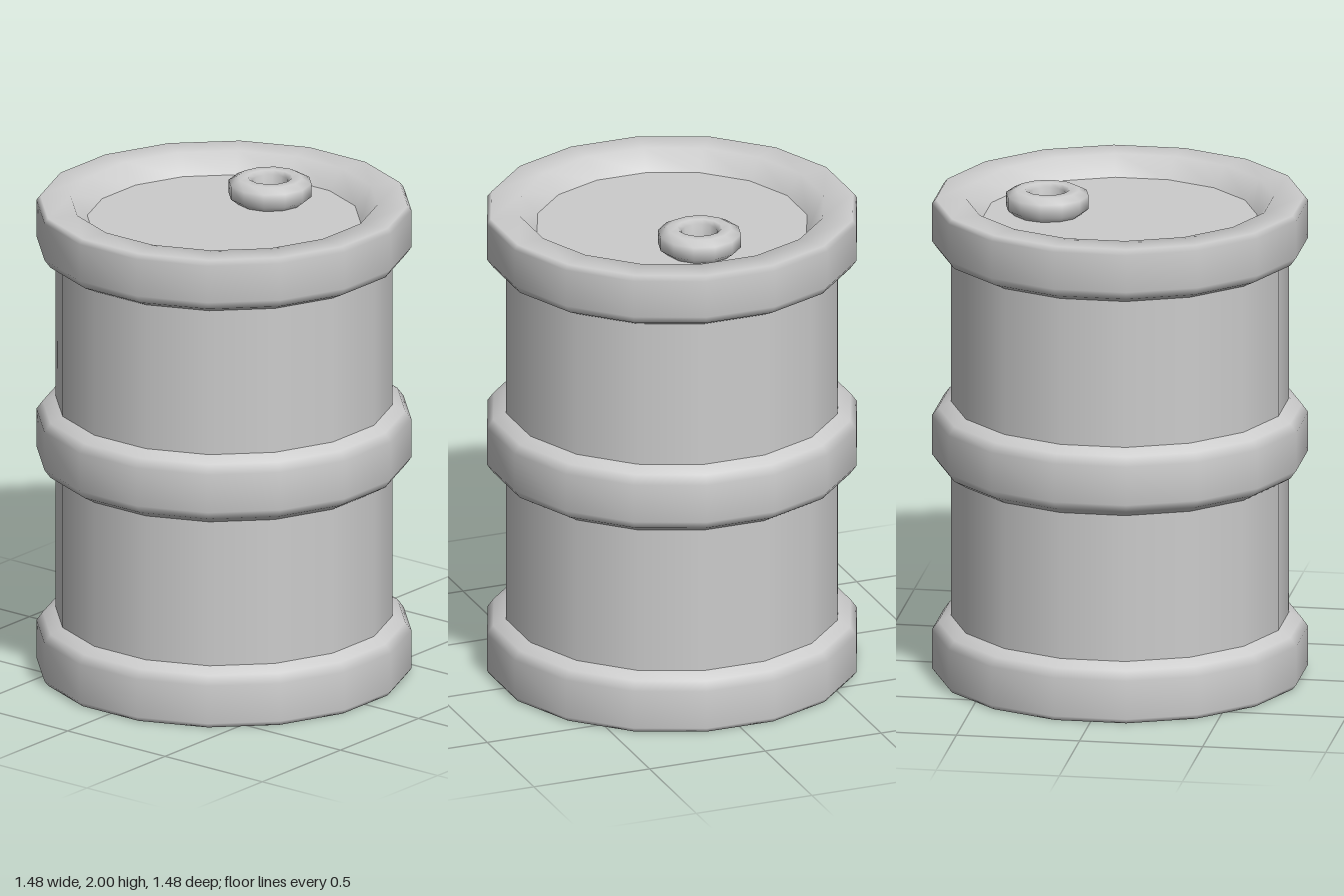
import * as THREE from 'three';

const SIDES = 16;
const HALF = Math.PI / SIDES;

// Revolve [apothem, y] points listed from bottom/inside, outward and upward.
function revolve(name, profile, material, sides = SIDES, start = HALF, scale = 1 / Math.cos(HALF)) {
  const points = profile.map(([r, y]) => new THREE.Vector2(r * scale, y));
  const mesh = new THREE.Mesh(new THREE.LatheGeometry(points, sides, start), material);
  mesh.name = name;
  return mesh;
}

export function createModel() {
  const barrel = new THREE.Group();
  barrel.name = 'barrel';
  const grey = new THREE.MeshStandardMaterial({ color: 0xcccccc });
  grey.name = 'light grey';

  // Straight wall
  barrel.add(revolve('wall', [[0.665, 0.2], [0.665, 1.78]], grey));

  // Bottom rim, wrapping under to the recessed base
  barrel.add(revolve('bottomRim', [
    [0.54, 0.07], [0.605, 0.0], [0.725, 0.0], [0.74, 0.02],
    [0.74, 0.18], [0.715, 0.215], [0.665, 0.24],
  ], grey));

  // Middle hoop
  barrel.add(revolve('middleHoop', [
    [0.665, 0.85], [0.715, 0.88], [0.74, 0.915],
    [0.74, 1.075], [0.715, 1.11], [0.665, 1.135],
  ], grey));

  // Top rim, rolling inward to the recessed lid
  barrel.add(revolve('topRim', [
    [0.665, 1.745], [0.715, 1.77], [0.74, 1.805],
    [0.74, 1.96], [0.725, 1.98], [0.605, 1.98], [0.54, 1.9],
  ], grey));

  // Recessed discs
  barrel.add(revolve('lid', [[0.54, 1.9], [0, 1.9]], grey));
  barrel.add(revolve('base', [[0, 0.07], [0.54, 0.07]], grey));

  // Ring-shaped filler cap with an open hole
  const cap = revolve('fillerCap', [
    [0.13, 1.895], [0.168, 1.925], [0.168, 1.98], [0.13, 2.0],
    [0.09, 2.0], [0.073, 1.985], [0.066, 1.895],
  ], grey, 12, 0, 1);
  cap.position.x = 0.295;
  barrel.add(cap);

  return barrel;
}
